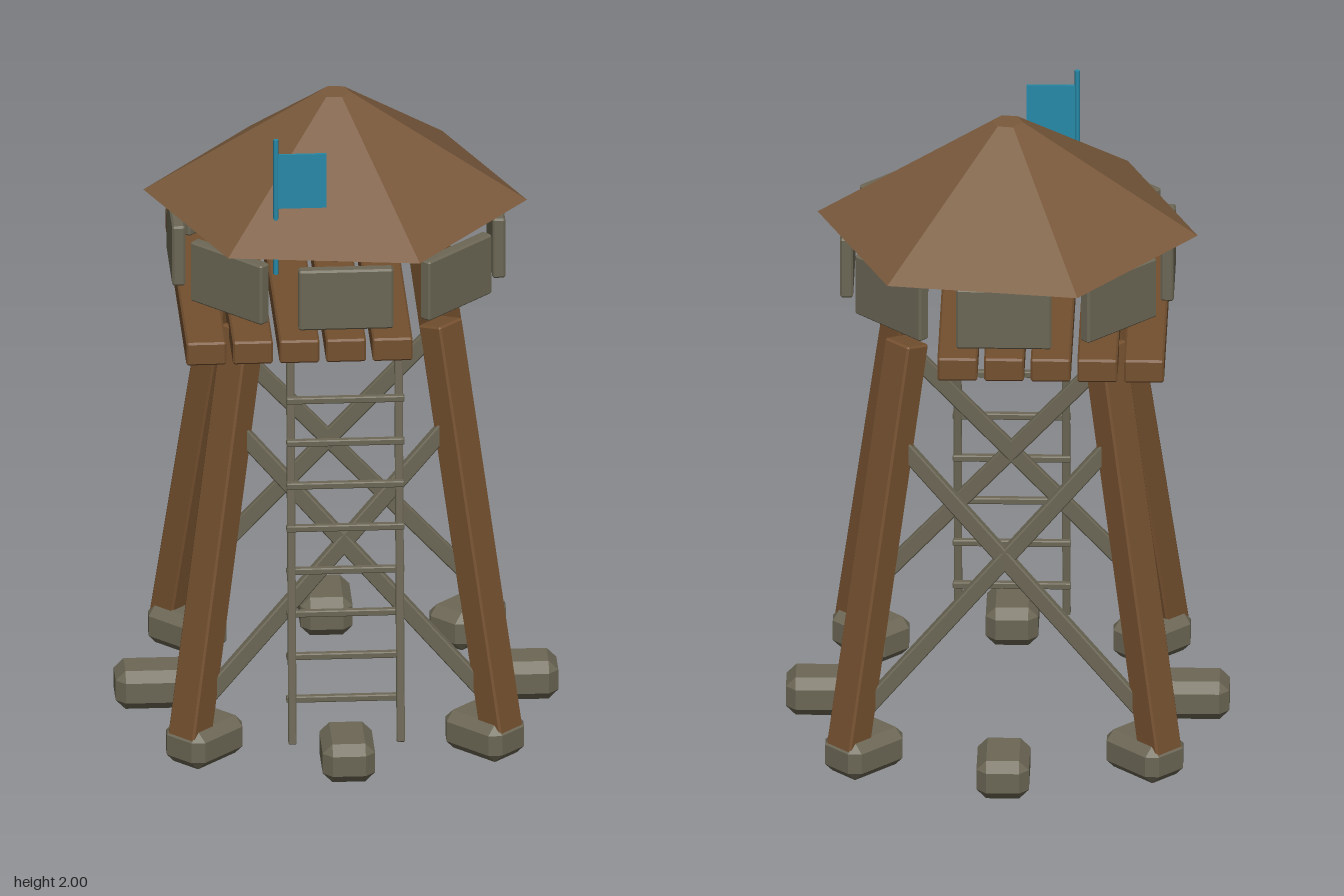
import * as THREE from 'three';
import { ConvexGeometry } from 'three/addons/geometries/ConvexGeometry.js';

const mat = (name, color) => {
  const m = new THREE.MeshStandardMaterial({ color });
  m.name = name;
  return m;
};

// Box with flat chamfered edges
function block(w, h, d, c) {
  const pts = [];
  for (const x of [-1, 1]) for (const y of [-1, 1]) for (const z of [-1, 1]) {
    const a = w / 2, b = h / 2, e = d / 2;
    pts.push(
      new THREE.Vector3(x * a, y * (b - c), z * (e - c)),
      new THREE.Vector3(x * (a - c), y * b, z * (e - c)),
      new THREE.Vector3(x * (a - c), y * (b - c), z * e));
  }
  return new ConvexGeometry(pts);
}

export function createModel() {
  const model = new THREE.Group();
  model.name = 'watchtower';
  const wood = mat('brown wood', 0x74502f);
  const thatch = mat('roof brown', 0x7a5a3c);
  const grey = mat('weathered grey', 0x6c6755);
  const blue = mat('flag blue', 0x2789a8);

  const add = (name, geo, material, x, y, z, turn = 0) => {
    const m = new THREE.Mesh(geo, material);
    m.name = name;
    m.position.set(x, y, z);
    m.rotation.y = turn;
    model.add(m);
    return m;
  };

  // Straight beam between two points
  const beam = (name, a, b, w, h, c, material) => {
    const p = new THREE.Vector3(...a), q = new THREE.Vector3(...b);
    const mid = p.clone().add(q).multiplyScalar(0.5);
    const m = add(name, block(w, h, p.distanceTo(q), c), material, mid.x, mid.y, mid.z);
    m.lookAt(q);
    return m;
  };

  // Ring of foundation stones, wider under the legs
  const stone = block(0.16, 0.125, 0.23, 0.03);
  for (let i = 0; i < 8; i++) {
    const t = i * Math.PI / 4, r = i % 2 ? 0.605 : 0.56;
    add('foundationStone', stone, grey, Math.sin(t) * r, 0.067, Math.cos(t) * r, t);
  }

  // Four legs leaning inwards
  for (const x of [-1, 1]) for (const z of [-1, 1]) {
    beam('leg', [x * 0.475, 0.09, z * 0.475], [x * 0.3, 1.375, z * 0.3], 0.105, 0.09, 0.006, wood);
  }

  // Crossed braces on the front and back
  for (const z of [-1, 1]) for (const x of [-1, 1]) {
    beam('brace', [x * 0.46, 0.17, z * 0.46], [-x * 0.35, 1.09, z * 0.345], 0.03, 0.05, 0.004, grey);
  }

  // Floor planks
  const plank = block(0.122, 0.075, 1.05, 0.006);
  for (let i = 0; i < 5; i++) add('floorPlank', plank, wood, -0.427 + i * 0.142, 1.382, 0);

  // Ladder
  for (const x of [-0.165, 0.165]) {
    beam('ladderRail', [x, 0.085, 0.53], [x, 1.36, 0.41], 0.025, 0.022, 0.003, grey);
  }
  const rung = block(0.36, 0.02, 0.022, 0.003);
  for (let i = 0; i < 8; i++) add('ladderRung', rung, grey, 0, 0.208 + i * 0.1415, 0.47);

  // Ring of wall panels
  const panel = block(0.29, 0.197, 0.04, 0.006);
  for (let i = 0; i < 8; i++) {
    const t = i * Math.PI / 4;
    add('wallPanel', panel, grey, Math.sin(t) * 0.488, 1.543, Math.cos(t) * 0.488, t);
  }

  // Mounted crossbow inside the lookout
  add('crossbowStock', block(0.045, 0.03, 0.36, 0.004), wood, 0, 1.558, 0.037);
  add('crossbowLimb', block(0.42, 0.02, 0.025, 0.003), wood, 0, 1.58, 0.12);
  add('crossbowBolt', block(0.012, 0.012, 0.34, 0.002), grey, 0, 1.606, 0.065);

  // Six-sided roof
  const roofGeo = new THREE.CylinderGeometry(0.048, 0.585, 0.342, 6).toNonIndexed();
  roofGeo.computeVertexNormals();
  add('roof', roofGeo, thatch, 0, 1.825, -0.044, THREE.MathUtils.degToRad(22.7));

  // Flag and pole
  add('flagPole', new THREE.CylinderGeometry(0.008, 0.008, 0.445, 8), blue, -0.203, 1.778, 0.322);
  add('flag', new THREE.BoxGeometry(0.152, 0.178, 0.008), blue, -0.125, 1.862, 0.322);

  return model;
}
